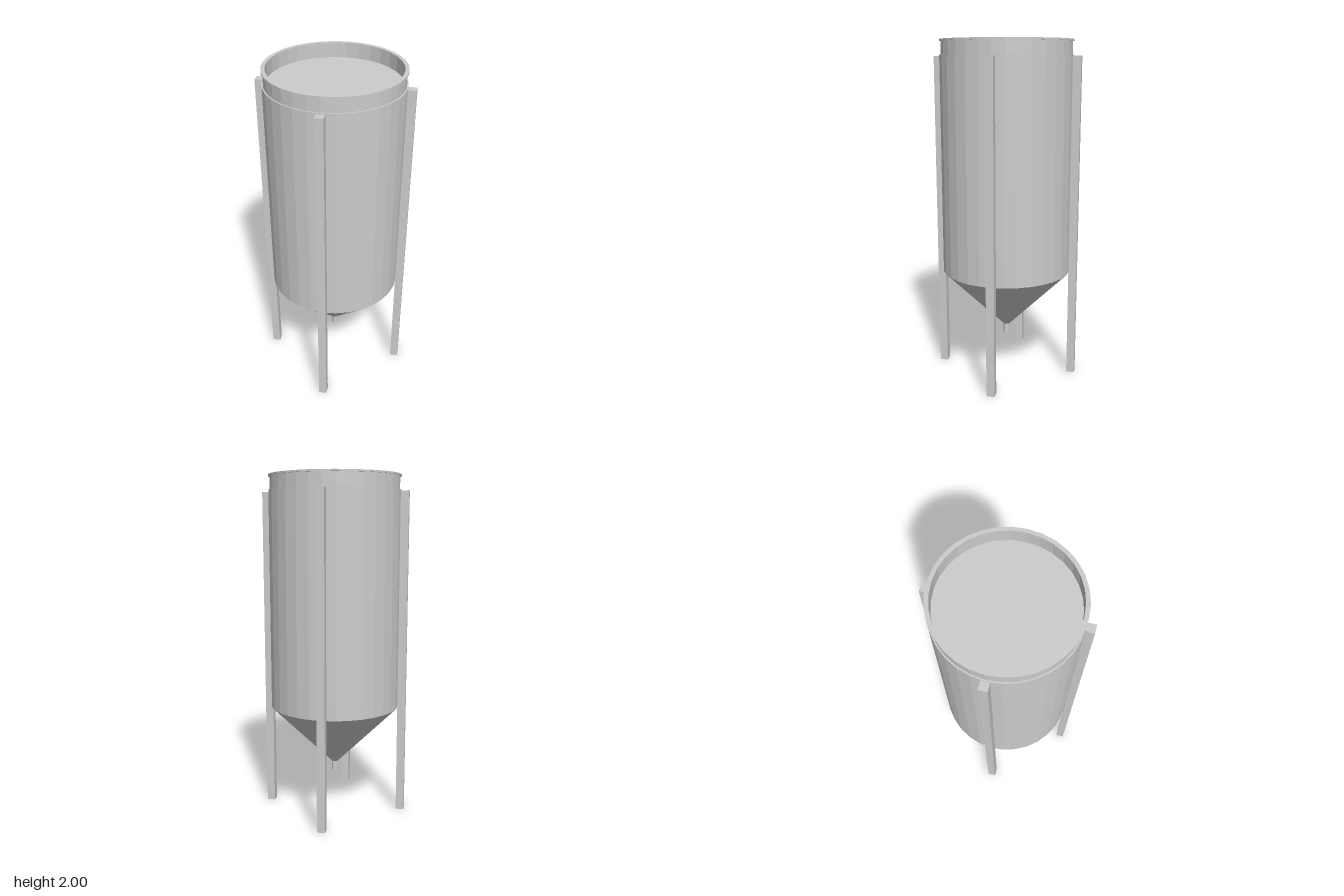
import * as THREE from 'three';

const SIDES = 32;
const R = 0.385; // tank radius

function createMaterial() {
  return new THREE.MeshStandardMaterial({ color: 0xcccccc, flatShading: true });
}

export function createModel() {
  const group = new THREE.Group();
  const material = createMaterial();

  const add = (name, geometry) => {
    const mesh = new THREE.Mesh(geometry, material);
    mesh.name = name;
    group.add(mesh);
    return mesh;
  };
  // Faceted solid of revolution; profile runs counter-clockwise in (radius, y)
  const lathe = (name, profile, sides = SIDES) =>
    add(name, new THREE.LatheGeometry(profile.map(([r, y]) => new THREE.Vector2(r, y)), sides));

  // Conical bottom and cylindrical shell with its flat lid
  lathe('hopperCone', [[0.02, 0.28], [R, 0.642]]);
  lathe('tankShell', [[R, 0.642], [R, 1.915]]);
  lathe('tankLid', [[R, 1.915], [0, 1.915]]);

  // Raised collar, open at the top, with a thin projecting lip
  lathe('topCollar', [
    [0.377, 1.915], [0.377, 1.99], [R, 1.99], [R, 2],
    [0.363, 2], [0.363, 1.915],
  ]);

  // Short drain pipe under the cone
  lathe('outletPipe', [[0, 0.222], [0.02, 0.222], [0.02, 0.285]], 16);

  // Four square legs on the diagonals, turned to face the tank
  const legs = new THREE.Group();
  legs.name = 'legs';
  const legGeometry = new THREE.BoxGeometry(0.047, 1.908, 0.047);
  for (let i = 0; i < 4; i++) {
    const angle = Math.PI / 4 + (i * Math.PI) / 2;
    const leg = new THREE.Mesh(legGeometry, material);
    leg.name = 'leg';
    leg.position.set(0.407 * Math.sin(angle), 0.954, 0.407 * Math.cos(angle));
    leg.rotation.y = angle;
    legs.add(leg);
  }
  group.add(legs);

  return group;
}
